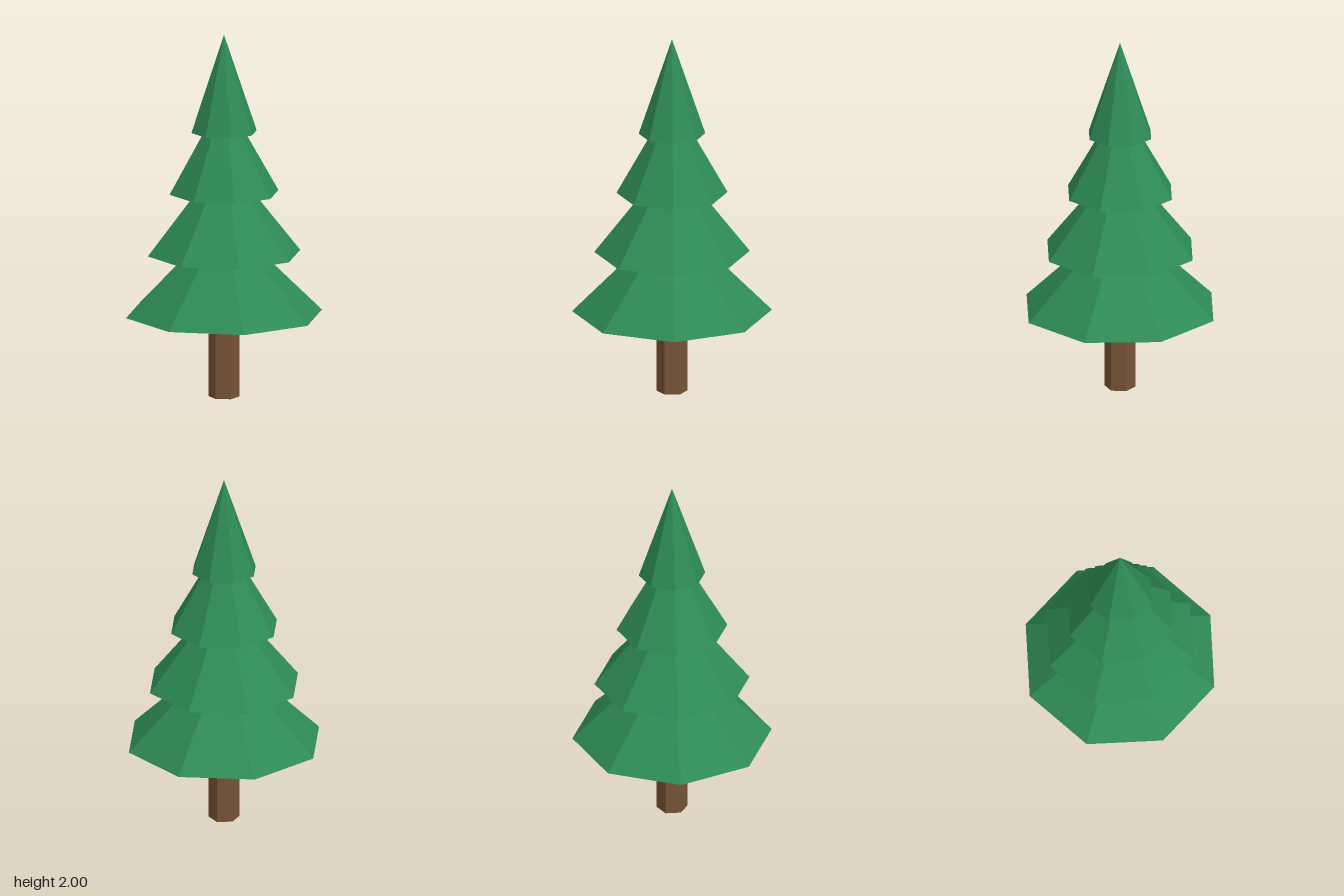
import * as THREE from 'three';

export function createModel() {
  const tree = new THREE.Group();
  tree.name = 'pineTree';

  const bark = new THREE.MeshStandardMaterial({ color: 0x785336, flatShading: true });
  bark.name = 'bark brown';
  const needles = new THREE.MeshStandardMaterial({ color: 0x2e8b57, flatShading: true });
  needles.name = 'needle green';

  // Adds a solid standing on the given base height
  const add = (name, geometry, material, base, height) => {
    const mesh = new THREE.Mesh(geometry, material);
    mesh.name = name;
    mesh.position.y = base + height / 2;
    tree.add(mesh);
  };

  // Six-sided trunk, ending just inside the lowest tier
  const trunkHeight = 0.46;
  add('trunk', new THREE.CylinderGeometry(0.083, 0.083, trunkHeight, 6), bark, 0, trunkHeight);

  // Four eight-sided foliage tiers of equal height, narrowing upwards
  const tierHeight = 0.536;
  const tierStep = 0.336;
  for (let i = 0; i < 4; i++) {
    const radius = 0.54 - i * 0.12;
    const base = 2 - tierHeight - (3 - i) * tierStep;
    add(`foliageTier${i + 1}`, new THREE.ConeGeometry(radius, tierHeight, 8), needles, base, tierHeight);
  }

  return tree;
}
